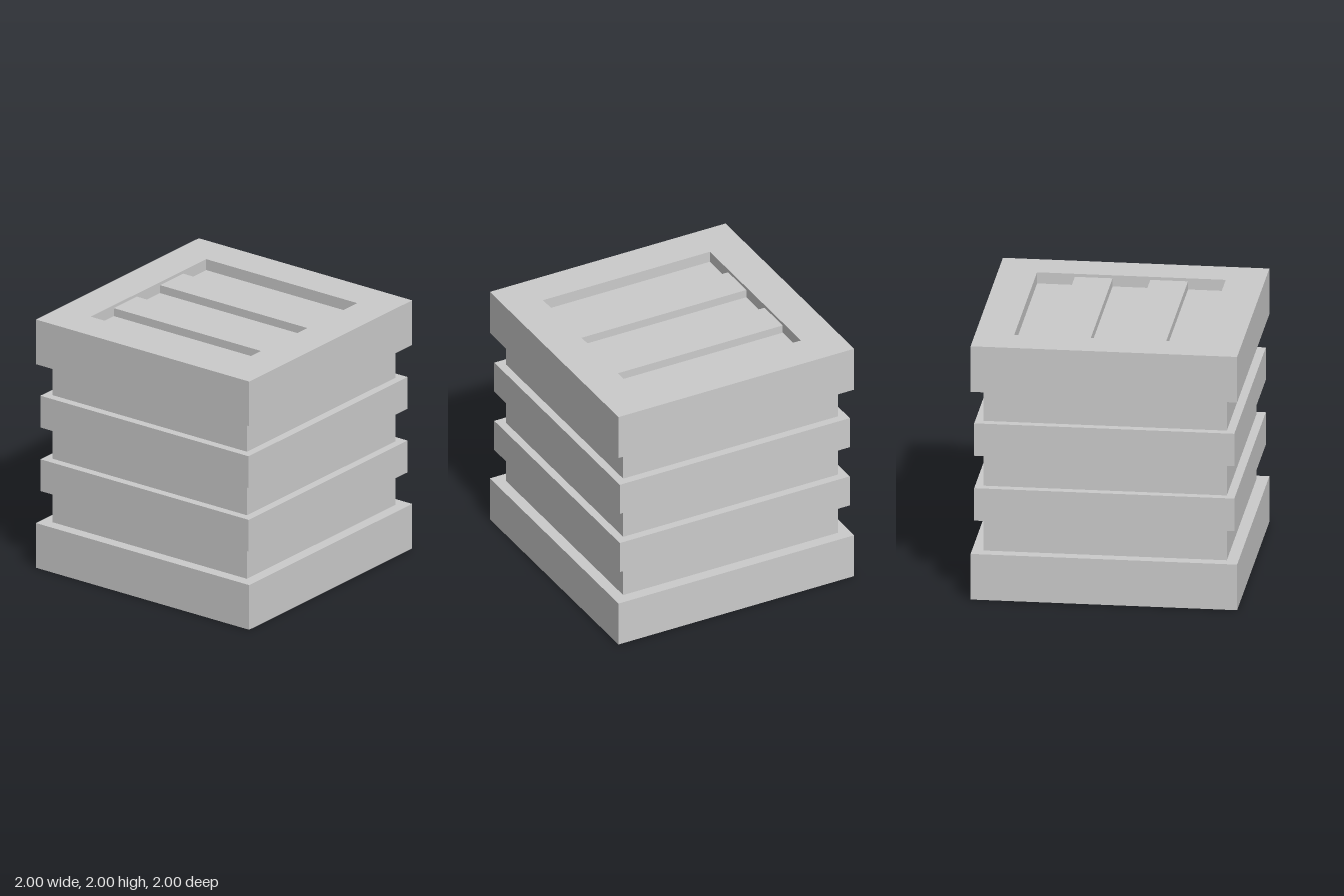
import * as THREE from 'three';

const material = new THREE.MeshStandardMaterial({ color: 0xcccccc, flatShading: true });

const FRAME_H = 0.36;   // height of the top and bottom frames
const OPEN = 0.708;     // half width of the frame opening
const CORE = 0.912;     // half width of the inner block
const RAISED = 0.976;   // half width at the raised planks

export function createModel() {
  const group = new THREE.Group();
  group.name = 'crate';

  const add = (name, geometry, x, y, z) => {
    const mesh = new THREE.Mesh(geometry, material);
    mesh.name = name;
    mesh.position.set(x, y, z);
    group.add(mesh);
    return mesh;
  };

  // Inner block: the recessed planks on all six sides
  add('core', new THREE.BoxGeometry(2 * CORE, 2 * CORE, 2 * CORE), 0, 1, 0);

  // Raised plank bands around the four walls
  const bandH = (2 - 2 * FRAME_H) / 5;
  for (const s of [-1, 1]) {
    add('wallPlankBand', new THREE.BoxGeometry(2 * RAISED, bandH, 2 * RAISED), 0, 1 + s * bandH, 0);
  }

  // Square frames with an opening, at the top and the bottom
  const outline = new THREE.Shape([[-1, -1], [1, -1], [1, 1], [-1, 1]].map(([x, y]) => new THREE.Vector2(x, y)));
  outline.holes.push(new THREE.Path(
    [[-1, -1], [-1, 1], [1, 1], [1, -1]].map(([x, y]) => new THREE.Vector2(x * OPEN, y * OPEN))));
  const frame = new THREE.ExtrudeGeometry(outline, { depth: FRAME_H, bevelEnabled: false });
  frame.rotateX(-Math.PI / 2);
  add('bottomFrame', frame, 0, 0, 0);
  add('topFrame', frame, 0, 2 - FRAME_H, 0);

  // Raised slats inside both openings, running along x
  const slatW = 2 * OPEN / 5;
  const slat = new THREE.BoxGeometry(2 * OPEN, RAISED - CORE, slatW);
  for (const side of [-1, 1]) {
    for (const s of [-1, 1]) {
      add(side > 0 ? 'topSlat' : 'bottomSlat', slat, 0, 1 + side * (CORE + RAISED) / 2, s * slatW);
    }
  }

  return group;
}
